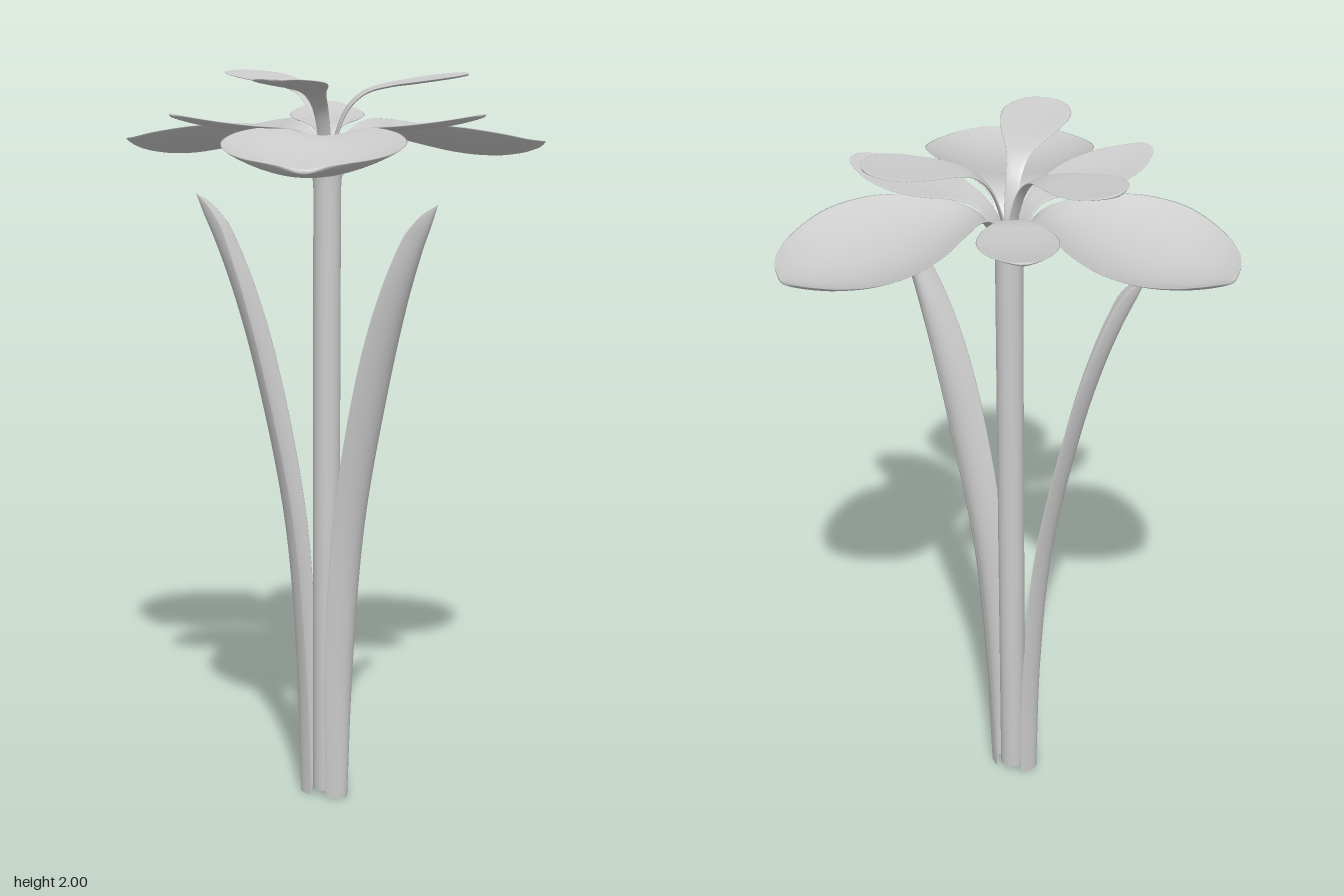
import * as THREE from 'three';

const material = new THREE.MeshStandardMaterial({ color: 0xcccccc, side: THREE.DoubleSide });

// Thin solid blade swept outward along local +x.
// stations: [radius, height, halfWidth]; bend(halfWidth): how far the edges rise from the midrib.
function bladeGeometry(stations, bend, thickness, rows = 44, sides = 28) {
  const curve = new THREE.CatmullRomCurve3(stations.map(s => new THREE.Vector3(...s)), false, 'centripetal');
  const positions = [], index = [];
  for (let i = 0; i <= rows; i++) {
    const p = curve.getPoint(i / rows);
    const t = curve.getTangent(i / rows);
    const len = Math.hypot(t.x, t.y) || 1;
    const half = Math.max(p.z, 0);
    const thick = Math.min(thickness, half * 0.4) / 2;
    for (let j = 0; j < sides; j++) {
      const a = (j / sides) * Math.PI * 2;
      const s = Math.cos(a);
      const d = bend(half) * s * s + thick * Math.sin(a);
      positions.push(p.x - (t.y / len) * d, p.y + (t.x / len) * d, s * half);
    }
  }
  for (let i = 0; i < rows; i++) {
    for (let j = 0; j < sides; j++) {
      const a = i * sides + j, b = i * sides + (j + 1) % sides;
      index.push(a, a + sides, b, b, a + sides, b + sides);
    }
  }
  const g = new THREE.BufferGeometry();
  g.setAttribute('position', new THREE.Float32BufferAttribute(positions, 3));
  g.setIndex(index);
  g.computeVertexNormals();
  return g;
}

export function createModel() {
  const plant = new THREE.Group();
  plant.name = 'flower';
  plant.position.set(-0.023, 0, 0.092);

  const add = (name, geometry, degrees = 0) => {
    const mesh = new THREE.Mesh(geometry, material);
    mesh.name = name;
    mesh.rotation.y = -THREE.MathUtils.degToRad(degrees);
    plant.add(mesh);
  };

  // Stem, flaring slightly into the cup of the flower
  const stem = [[0, 0.015], [0.036, 0.015], [0.037, 0.8], [0.037, 1.7], [0.041, 1.76], [0.046, 1.79], [0.03, 1.785], [0, 1.75]];
  add('stem', new THREE.LatheGeometry(stem.map(p => new THREE.Vector2(...p)), 24));

  // Two long leaves wrapping the stem at the base and arching outward
  const leaf = bladeGeometry([
    [0.066, 0, 0.037], [0.078, 0.4, 0.056], [0.112, 0.8, 0.067], [0.192, 1.2, 0.073],
    [0.248, 1.4, 0.064], [0.299, 1.54, 0.046], [0.344, 1.64, 0.022], [0.365, 1.68, 0],
  ], h => Math.min(0.036, h * 0.95), 0.012);
  add('frontLeaf', leaf, 90);
  add('backLeaf', leaf, -115.5);

  // Three whorls of three cupped petals
  const outer = bladeGeometry([
    [0.036, 1.735, 0.03], [0.05, 1.79, 0.036], [0.08, 1.828, 0.046], [0.13, 1.842, 0.085],
    [0.2, 1.835, 0.15], [0.28, 1.815, 0.205], [0.38, 1.792, 0.23], [0.48, 1.779, 0.207],
    [0.56, 1.781, 0.158], [0.61, 1.789, 0.105], [0.635, 1.795, 0.058], [0.642, 1.797, 0],
  ], h => 0.25 * h, 0.012, 50, 36);
  const middle = bladeGeometry([
    [0.032, 1.74, 0.028], [0.046, 1.8, 0.029], [0.085, 1.843, 0.032], [0.14, 1.858, 0.056],
    [0.2, 1.862, 0.086], [0.28, 1.868, 0.103], [0.36, 1.88, 0.089],
    [0.42, 1.894, 0.055], [0.45, 1.903, 0.026], [0.458, 1.906, 0],
  ], h => 0.1 * h, 0.01);
  const inner = bladeGeometry([
    [0.01, 1.74, 0.014], [0.022, 1.83, 0.018], [0.055, 1.91, 0.022], [0.1, 1.95, 0.032],
    [0.16, 1.967, 0.058], [0.22, 1.975, 0.08], [0.29, 1.984, 0.093], [0.34, 1.991, 0.077],
    [0.37, 1.996, 0.043], [0.38, 1.998, 0],
  ], h => 0.06 * h, 0.009);
  for (let k = 0; k < 3; k++) {
    add('outerPetal' + (k + 1), outer, 25.5 + k * 120);
    add('middlePetal' + (k + 1), middle, 80.5 + k * 120);
    add('innerPetal' + (k + 1), inner, 40 + k * 120);
  }

  const model = new THREE.Group();
  model.add(plant);
  return model;
}
